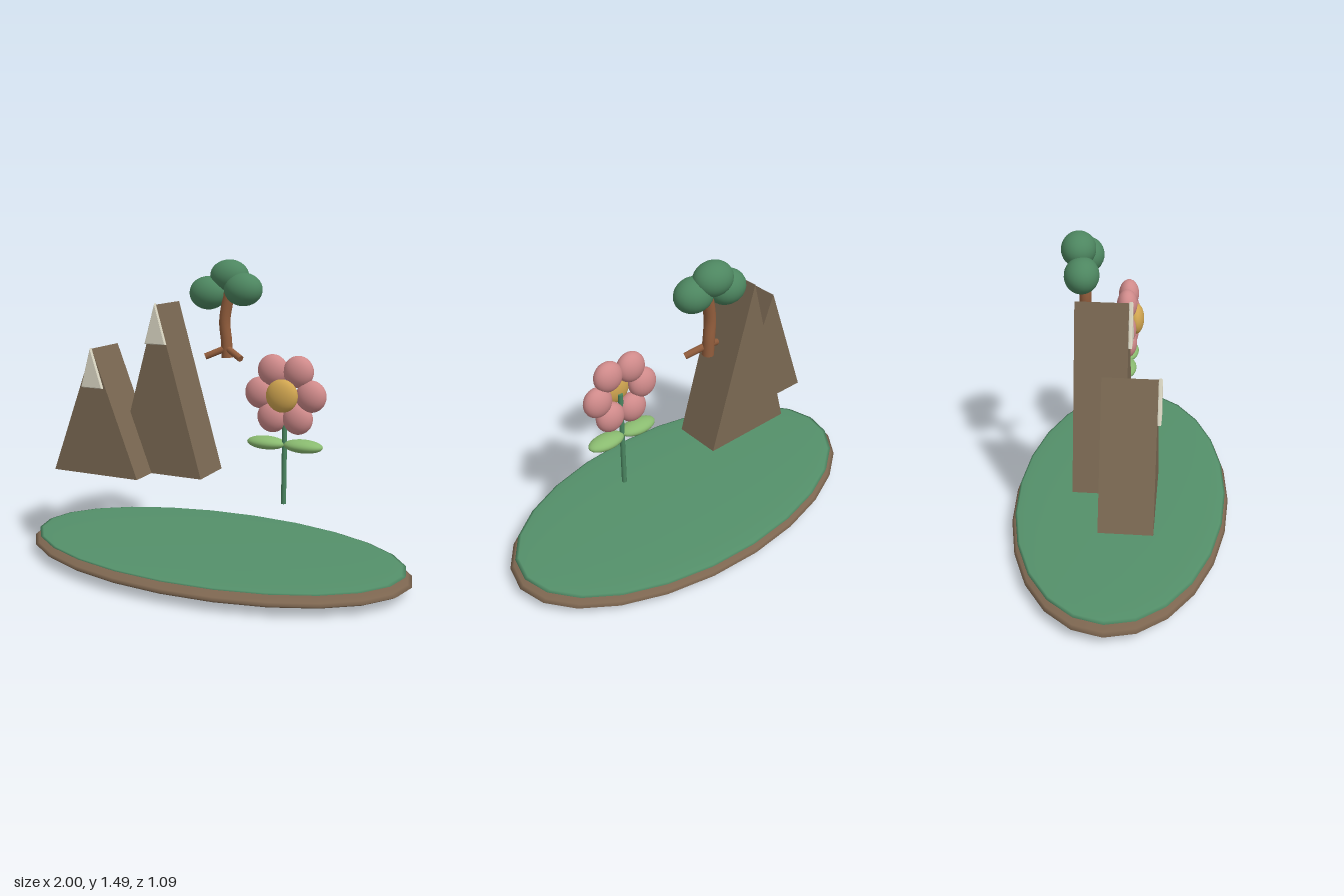
import * as THREE from 'three';

const mat = (color) => new THREE.MeshStandardMaterial({ color });
const M = {
  earth: mat(0x7d6650), grass: mat(0x54906a), rock: mat(0x7a6852), snow: mat(0xdedac6),
  bark: mat(0x925d3c), foliage: mat(0x4d8660), stem: mat(0x4a8560),
  leaf: mat(0x8abb70), petal: mat(0xcf8a8a), pollen: mat(0xd0a550),
};

function add(parent, name, geometry, material, pos = [0, 0, 0]) {
  const mesh = new THREE.Mesh(geometry, material);
  mesh.name = name;
  mesh.position.set(...pos);
  parent.add(mesh);
  return mesh;
}

function ellipsoid(parent, name, material, pos, radii, w = 24, h = 16) {
  const geometry = new THREE.SphereGeometry(1, w, h).scale(...radii);
  return add(parent, name, geometry, material, pos);
}

// Upright triangle pushed from z0 to z1
function wedge(parent, name, material, [xl, xr, yb], [xa, ya], z0, z1, bevel = 0) {
  const s = new THREE.Shape();
  s.moveTo(xl, yb);
  s.lineTo(xr, yb);
  s.lineTo(xa, ya);
  s.closePath();
  const geometry = new THREE.ExtrudeGeometry(s, {
    depth: z1 - z0 - 2 * bevel, bevelEnabled: bevel > 0, bevelThickness: bevel,
    bevelSize: bevel, bevelOffset: -bevel, bevelSegments: 2,
  });
  return add(parent, name, geometry, material, [0, 0, z0 + bevel]);
}

// Closed rod between two points
function rod(parent, name, material, a, b, r0, r1) {
  const A = new THREE.Vector3(...a), B = new THREE.Vector3(...b);
  const dir = B.clone().sub(A);
  const mesh = add(parent, name, new THREE.CylinderGeometry(r1, r0, dir.length(), 12), material);
  mesh.position.copy(A).add(B).multiplyScalar(0.5);
  mesh.quaternion.setFromUnitVectors(new THREE.Vector3(0, 1, 0), dir.normalize());
  return mesh;
}

function group(parent, name) {
  const g = new THREE.Group();
  g.name = name;
  parent.add(g);
  return g;
}

export function createModel() {
  const model = new THREE.Group();
  model.name = 'islandScene';

  // Flattened island with a grass layer
  const island = group(model, 'island');
  ellipsoid(island, 'earthBase', M.earth, [0, 0.06, 0], [1, 0.057, 0.545]);
  ellipsoid(island, 'grassTop', M.grass, [0, 0.104, 0], [0.97, 0.018, 0.528]);

  // Two wedge mountains with thin snow caps on the front
  const mountains = group(model, 'mountains');
  wedge(mountains, 'frontMountain', M.rock, [-0.785, -0.308, 0.45], [-0.548, 1.075], -0.04, 0.197);
  wedge(mountains, 'frontSnowCap', M.snow, [-0.605, -0.485, 0.885], [-0.548, 1.08], 0.196, 0.214, 0.005);
  wedge(mountains, 'backMountain', M.rock, [-0.51, -0.035, 0.45], [-0.272, 1.285], -0.182, 0.054);
  wedge(mountains, 'backSnowCap', M.snow, [-0.33, -0.215, 1.095], [-0.272, 1.292], 0.053, 0.071, 0.005);

  // Tree: bent trunk, two roots, three clumps of foliage
  const tree = group(model, 'tree');
  const path = new THREE.CatmullRomCurve3([
    [0, 1.02, -0.17], [-0.004, 1.1, -0.17], [-0.012, 1.2, -0.166], [0.012, 1.34, -0.168],
  ].map((p) => new THREE.Vector3(...p)));
  add(tree, 'trunk', new THREE.TubeGeometry(path, 16, 0.028, 14), M.bark);
  const cap = add(tree, 'trunkEnd', new THREE.CircleGeometry(0.028, 14), M.bark, [0, 1.02, -0.17]);
  cap.rotation.x = Math.PI / 2;
  for (const s of [-1, 1]) {
    rod(tree, 'root', M.bark, [0, 1.068, -0.165], [s * 0.095, 1.025, -0.12], 0.016, 0.016);
  }
  ellipsoid(tree, 'foliageTop', M.foliage, [0, 1.415, -0.194], [0.098, 0.079, 0.079]);
  ellipsoid(tree, 'foliageRight', M.foliage, [-0.103, 1.332, -0.17], [0.096, 0.081, 0.079]);
  ellipsoid(tree, 'foliageLeft', M.foliage, [0.085, 1.354, -0.166], [0.096, 0.08, 0.079]);

  // Flower: stem, paired leaves, ring of petals, raised centre
  const flower = group(model, 'flower');
  const fx = 0.375, fy = 0.893;
  rod(flower, 'stem', M.stem, [fx, 0.37, 0], [fx, 0.88, 0], 0.012, 0.012);
  for (const s of [-1, 1]) {
    ellipsoid(flower, 'leaf', M.leaf, [fx + s * 0.092, 0.657, 0], [0.095, 0.031, 0.051]);
  }
  for (let i = 0; i < 6; i++) {
    const a = (i * Math.PI) / 3;
    ellipsoid(flower, 'petal', M.petal,
      [fx + 0.126 * Math.cos(a), fy + 0.126 * Math.sin(a), 0], [0.072, 0.074, 0.051]);
  }
  ellipsoid(flower, 'flowerCentre', M.pollen, [fx, fy, 0.042], [0.077, 0.077, 0.04]);

  return model;
}
